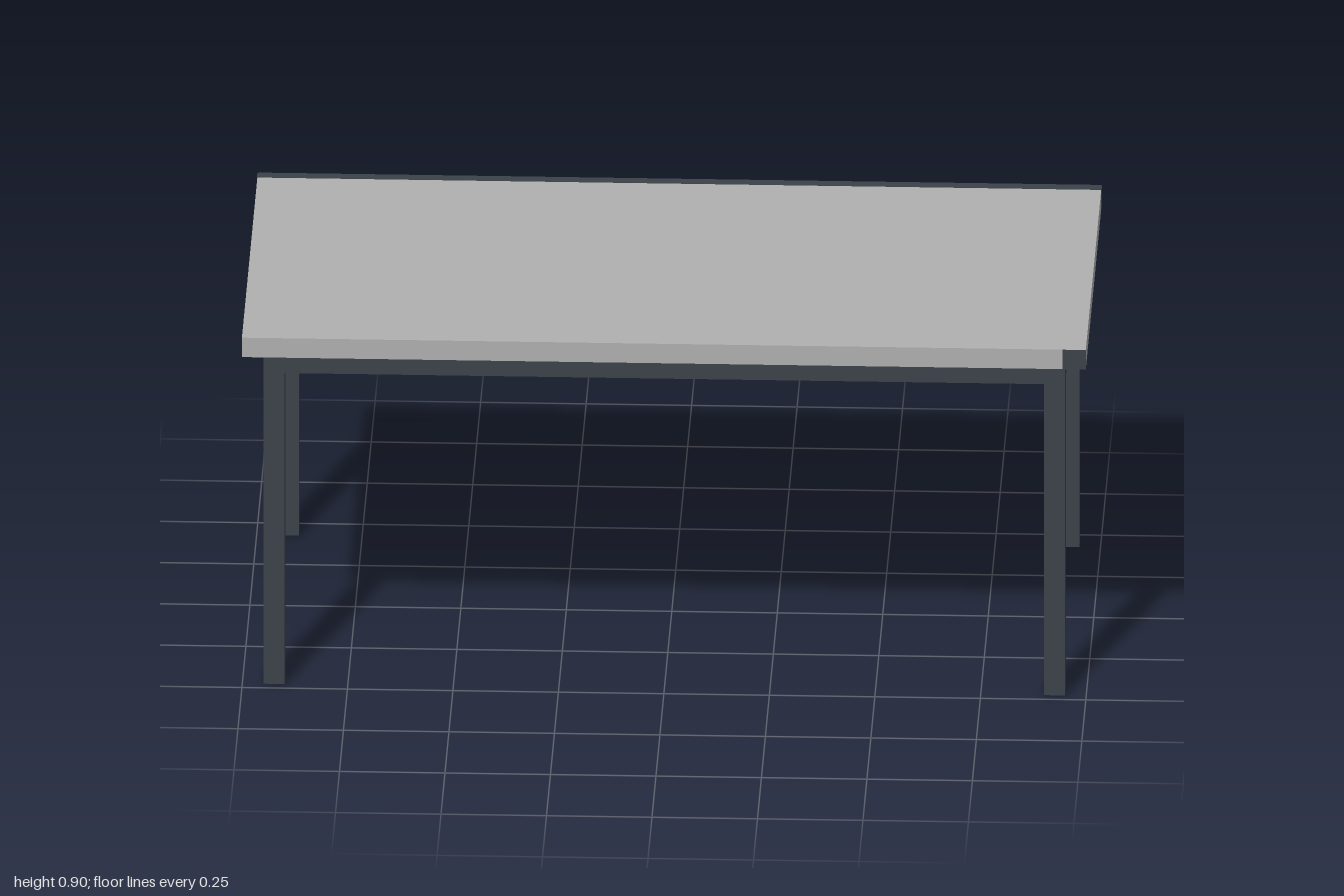
import * as THREE from 'three';

const mat = (name, color) => {
  const m = new THREE.MeshStandardMaterial({ color });
  m.name = name;
  return m;
};

export function createModel() {
  const grey = mat('tabletop grey', 0xb0b0b0);
  const dark = mat('dark metal', 0x3b4248);
  const table = new THREE.Group();
  table.name = 'table';

  const box = (name, size, pos, material) => {
    const mesh = new THREE.Mesh(new THREE.BoxGeometry(...size), material);
    mesh.name = name;
    mesh.position.set(...pos);
    table.add(mesh);
  };

  // Slab
  const H = 0.05, topY = 0.9, midY = topY - H / 2;
  box('tabletop', [2, H, 1], [0, midY, 0], grey);

  // Dark painted edging, as thin plates lying on the slab faces
  const t = 0.002;
  box('rearTopStripe', [2, t, 0.028], [0, topY, -0.486], dark);
  for (const s of [-1, 1]) {
    box('sideEndStripe', [t, H, 0.028], [s, midY, -0.486], dark);
    box('longEdgeStripe', [0.055, H, t], [0.9725, midY, s * 0.5], dark);
  }

  // Square legs and the rail frame flush with them
  const T = 0.05, legX = 0.925, legZ = 0.45, frameY = 0.85;
  for (const s of [-1, 1]) {
    for (const q of [-1, 1]) {
      box('leg', [T, frameY, T], [s * legX, frameY / 2, q * legZ], dark);
    }
    box('longRail', [2 * legX - T, T, T], [0, frameY - T / 2, s * legZ], dark);
    box('sideRail', [T, T, 2 * legZ - T], [s * legX, frameY - T / 2, 0], dark);
  }
  return table;
}
